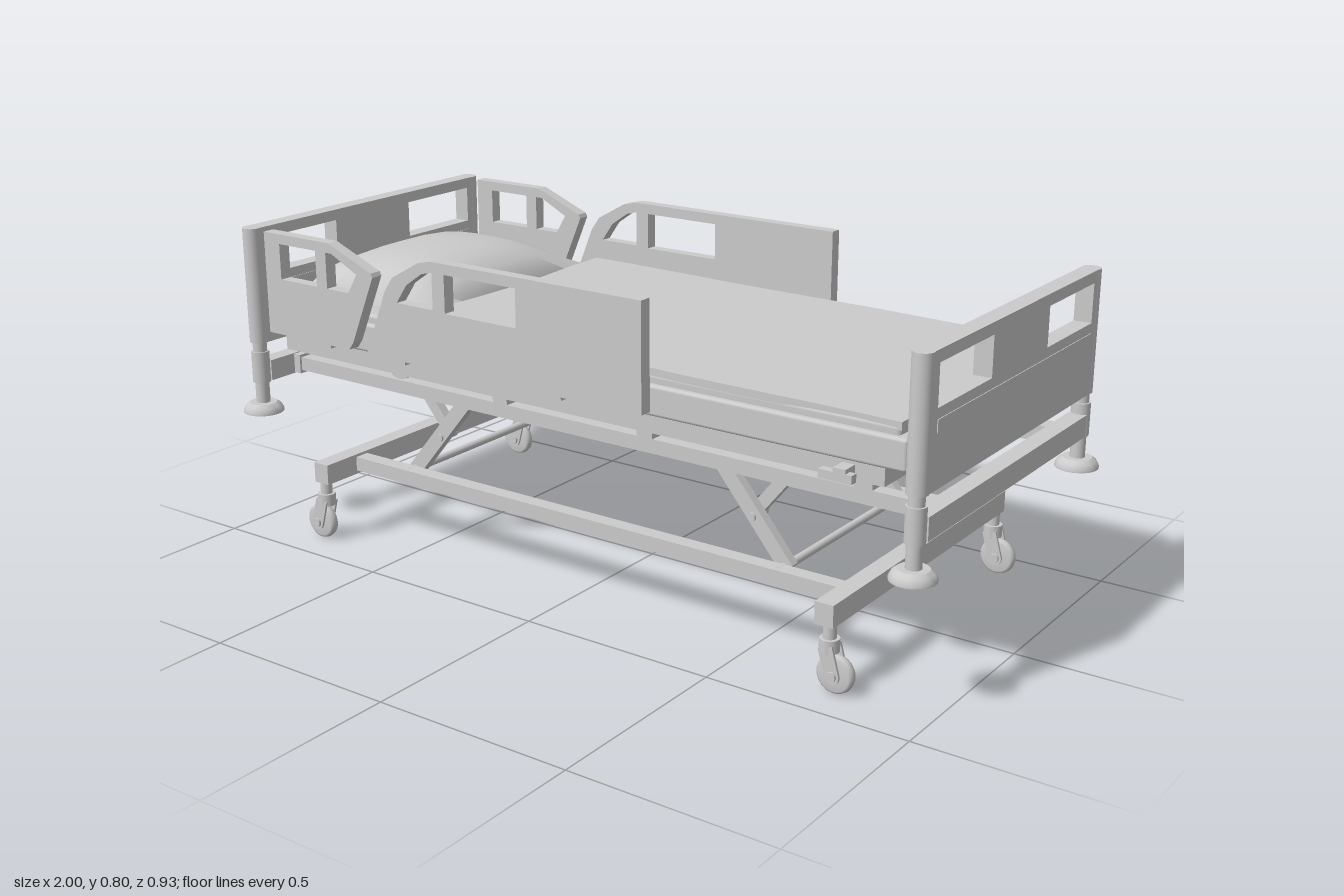
import * as THREE from 'three';
import { RoundedBoxGeometry } from 'three/addons/geometries/RoundedBoxGeometry.js';
import { toCreasedNormals } from 'three/addons/utils/BufferGeometryUtils.js';

const mat = new THREE.MeshStandardMaterial({ color: 0xcccccc, side: THREE.DoubleSide });

function add(parent, name, geo, x = 0, y = 0, z = 0) {
  const m = new THREE.Mesh(geo, mat);
  m.name = name;
  m.position.set(x, y, z);
  parent.add(m);
  return m;
}
// Box given by its limits
function box(parent, name, x0, x1, y0, y1, z0, z1) {
  return add(parent, name, new THREE.BoxGeometry(x1 - x0, y1 - y0, z1 - z0), (x0 + x1) / 2, (y0 + y1) / 2, (z0 + z1) / 2);
}
function post(parent, name, r, y0, y1, x, z) {
  return add(parent, name, new THREE.CylinderGeometry(r, r, y1 - y0, 24), x, (y0 + y1) / 2, z);
}
// Cylinder lying along z
function rod(parent, name, r, len, x, y, z) {
  const m = add(parent, name, new THREE.CylinderGeometry(r, r, len, 24), x, y, z);
  m.rotation.x = Math.PI / 2;
  return m;
}
// Rectangular bar between two points of a plane of constant z
function strut(parent, name, x0, y0, x1, y1, w, z, depth) {
  const m = add(parent, name, new THREE.BoxGeometry(Math.hypot(x1 - x0, y1 - y0), w, depth), (x0 + x1) / 2, (y0 + y1) / 2, z);
  m.rotation.z = Math.atan2(y1 - y0, x1 - x0);
  return m;
}
// Flat panel with holes, centred on its thickness
function panel(outline, holes, depth) {
  const v = (pts) => pts.map(([x, y]) => new THREE.Vector2(x, y));
  const s = new THREE.Shape(v(outline));
  holes.forEach((h) => s.holes.push(new THREE.Path(v(h))));
  const g = new THREE.ExtrudeGeometry(s, { depth, bevelEnabled: false });
  return g.translate(0, 0, -depth / 2);
}
const rect = (x0, x1, y0, y1) => [[x0, y0], [x1, y0], [x1, y1], [x0, y1]];

// Head or foot board with its corner posts and bumpers
function endBoard(name, s) {
  const g = new THREE.Group();
  g.name = name;
  const x = s * 0.948;
  const board = panel(rect(-0.415, 0.415, 0.503, 0.803), [rect(-0.385, -0.14, 0.68, 0.775), rect(0.14, 0.385, 0.68, 0.775)], 0.044);
  add(g, 'boardPanel', board, x).rotation.y = Math.PI / 2;
  for (const f of [-1, 1]) box(g, 'trimStrip', x + f * 0.022 - 0.002, x + f * 0.022 + 0.002, 0.626, 0.656, -0.385, 0.385);
  box(g, 'crossBeam', x - 0.022, x + 0.022, 0.398, 0.452, -0.4, 0.4);
  const bumper = [[0.001, 0.316], [0.052, 0.316], [0.052, 0.321], [0.046, 0.333], [0.035, 0.341], [0.001, 0.341]].map((p) => new THREE.Vector2(...p));
  for (const z of [-0.415, 0.415]) {
    post(g, 'boardEdge', 0.024, 0.503, 0.803, x, z);
    post(g, 'upperPost', 0.018, 0.475, 0.505, x, z);
    post(g, 'postSleeve', 0.023, 0.396, 0.478, x, z);
    post(g, 'lowerPost', 0.018, 0.335, 0.4, x, z);
    add(g, 'bumper', toCreasedNormals(new THREE.LatheGeometry(bumper, 32), 0.6), x, 0, z);
  }
  for (const z of [-0.295, 0.295]) {
    const x1 = s * 0.905;
    box(g, 'railSocket', Math.min(x, x1), Math.max(x, x1), 0.4, 0.45, z - 0.024, z + 0.024);
  }
  return g;
}

// Swivel caster, trailing outward
function caster(s, z) {
  const g = new THREE.Group();
  g.name = 'caster';
  post(g, 'casterStem', 0.015, 0.12, 0.17, s * 0.75, z);
  post(g, 'casterHousing', 0.023, 0.095, 0.126, s * 0.75, z);
  for (const f of [-1, 1]) {
    strut(g, 'casterFork', s * 0.75, 0.11, s * 0.768, 0.045, 0.036, z + f * 0.018, 0.006);
    rod(g, 'forkHub', 0.018, 0.006, s * 0.768, 0.045, z + f * 0.018);
  }
  const tyre = [[0.012, -0.013], [0.038, -0.013], [0.044, -0.008], [0.046, 0], [0.044, 0.008], [0.038, 0.013], [0.012, 0.013]].map((p) => new THREE.Vector2(...p));
  add(g, 'wheel', new THREE.LatheGeometry(tyre, 32), s * 0.768, 0.046, z).rotation.x = Math.PI / 2;
  rod(g, 'axle', 0.012, 0.054, s * 0.768, 0.046, z);
  return g;
}

// Side guards: a small one by the pillow and a long one by the middle
function sideGuards(z) {
  const g = new THREE.Group();
  g.name = 'sideGuards';
  const headGuard = panel([[-0.893, 0.54], [-0.615, 0.54], [-0.6, 0.56], [-0.525, 0.735], [-0.53, 0.745], [-0.67, 0.801], [-0.893, 0.801]],
    [rect(-0.84, -0.715, 0.685, 0.776), [[-0.68, 0.685], [-0.608, 0.685], [-0.578, 0.735], [-0.66, 0.776], [-0.68, 0.776]]], 0.032);
  const middleGuard = panel([[-0.555, 0.54], [0.273, 0.54], [0.273, 0.802], [-0.335, 0.802], [-0.375, 0.793], [-0.46, 0.745], [-0.485, 0.71]],
    [rect(-0.295, -0.08, 0.682, 0.776), [[-0.448, 0.685], [-0.333, 0.685], [-0.333, 0.776], [-0.365, 0.768], [-0.415, 0.733]]], 0.032);
  add(g, 'headGuard', headGuard, 0, 0, z);
  add(g, 'middleGuard', middleGuard, 0, 0, z);
  const inner = Math.sign(z) * 0.37;
  for (const x of [-0.75, -0.5, -0.02]) {
    box(g, 'guardBracket', x - 0.055, x + 0.055, 0.525, 0.55, Math.min(inner, z), Math.max(inner, z));
  }
  return g;
}

// Plump pillow: a grid box whose height follows rounded profiles in x and z
function pillowGeometry() {
  const g = new THREE.BoxGeometry(0.42, 1, 0.66, 8, 1, 8);
  const p = g.attributes.position;
  for (let i = 0; i < p.count; i++) {
    const u = p.getX(i) / 0.21, w = Math.min(1, Math.abs(p.getZ(i)) / 0.33);
    const puff = Math.pow(Math.max(0, 1 - Math.abs(u + 0.15) ** 3 / 1.5), 0.8) * Math.pow(1 - w ** 3, 0.7);
    p.setY(i, p.getY(i) > 0 ? 0.628 + 0.092 * puff : 0.6);
    p.setZ(i, p.getZ(i) * (1 - 0.05 * (1 - u * u) * w * w));
  }
  return toCreasedNormals(g, 0.9);
}

export function createModel() {
  const bed = new THREE.Group();
  bed.name = 'adjustableBed';
  bed.add(endBoard('headBoard', -1), endBoard('footBoard', 1), sideGuards(0.41), sideGuards(-0.41));

  // Wheeled base
  const base = new THREE.Group();
  base.name = 'base';
  bed.add(base);
  for (const s of [-1, 1]) {
    box(base, 'baseCrossBeam', s * 0.745 - 0.023, s * 0.745 + 0.023, 0.158, 0.211, -0.42, 0.42);
    box(base, 'baseRail', -0.73, 0.73, 0.167, 0.204, s * 0.295 - 0.02, s * 0.295 + 0.02);
    for (const z of [-0.4, 0.4]) base.add(caster(s, z));
  }

  // Lifting legs with diagonal braces
  const lift = new THREE.Group();
  lift.name = 'liftLegs';
  bed.add(lift);
  for (const s of [-1, 1]) {
    for (const f of [-1, 1]) {
      strut(lift, 'liftLeg', s * 0.365, 0.425, s * 0.56, 0.19, 0.038, f * 0.257, 0.024);
      strut(lift, 'legBrace', s * 0.555, 0.42, s * 0.462, 0.305, 0.03, f * 0.232, 0.024);
      rod(lift, 'bracePin', 0.01, 0.06, s * 0.467, 0.296, f * 0.245);
    }
    rod(lift, 'lowerLegRod', 0.01, 0.6, s * 0.555, 0.195, 0);
    rod(lift, 'upperLegRod', 0.012, 0.6, s * 0.37, 0.42, 0);
    rod(lift, 'braceRod', 0.012, 0.6, s * 0.55, 0.418, 0);
  }

  // Upper frame and bent cross straps
  const frame = new THREE.Group();
  frame.name = 'upperFrame';
  bed.add(frame);
  for (const z of [-0.295, 0.295]) box(frame, 'frameRail', -0.93, 0.93, 0.408, 0.443, z - 0.018, z + 0.018);
  const strap = panel([[-0.37, 0.488], [-0.25, 0.482], [-0.15, 0.445], [0.15, 0.445], [0.25, 0.482], [0.37, 0.488],
    [0.37, 0.5], [0.24, 0.494], [0.14, 0.457], [-0.14, 0.457], [-0.24, 0.494], [-0.37, 0.5]], [], 0.05);
  for (const x of [-0.23, 0.2, 0.77]) {
    add(frame, 'bentStrap', strap, x).rotation.y = Math.PI / 2;
    for (const z of [-0.295, 0.295]) box(frame, 'strapMount', x - 0.022, x + 0.022, 0.44, 0.49, z - 0.018, z + 0.018);
  }
  for (const z of [-0.3, 0.3]) rod(frame, 'backrestPivot', 0.045, 0.02, -0.56, 0.49, z);
  for (const s of [-1, 1]) {
    box(frame, 'hookArm', 0.755, 0.785, 0.5, 0.52, Math.min(s * 0.36, s * 0.42), Math.max(s * 0.36, s * 0.42));
    box(frame, 'hookBar', 0.72, 0.8, 0.49, 0.51, s * 0.41 - 0.01, s * 0.41 + 0.01);
  }

  // Slatted mattress platform
  const platform = new THREE.Group();
  platform.name = 'platform';
  bed.add(platform);
  for (const z of [-0.365, 0.365]) box(platform, 'platformRail', -0.885, 0.855, 0.485, 0.526, z - 0.014, z + 0.014);
  for (const x of [-0.87, 0.84]) box(platform, 'platformEnd', x - 0.015, x + 0.015, 0.485, 0.526, -0.36, 0.36);
  for (let i = 0; i < 20; i++) {
    const x = -0.81 + i * 0.0845;
    box(platform, 'slat', x - 0.036, x + 0.036, 0.508, 0.526, -0.355, 0.355);
  }

  // Mattress, sheet and pillow
  add(bed, 'mattress', new RoundedBoxGeometry(1.81, 0.073, 0.766, 2, 0.008), 0, 0.562, 0);
  add(bed, 'mattressTop', new RoundedBoxGeometry(1.76, 0.03, 0.735, 2, 0.01), 0, 0.605, 0);
  const sheet = new THREE.BoxGeometry(1.325, 0.018, 0.735, 12, 1, 6);
  const p = sheet.attributes.position;
  for (let i = 0; i < p.count; i++) {
    const x = p.getX(i), z = p.getZ(i);
    p.setY(i, p.getY(i) - 0.006 * (x / 0.66));
    p.setZ(i, z * (1 + 0.008 * Math.sin(x * 9)));
    if (x < -0.6) p.setX(i, x + 0.008 * Math.cos(z * 9));
  }
  add(bed, 'sheet', toCreasedNormals(sheet, 0.6), 0.22, 0.625, 0);
  add(bed, 'pillow', pillowGeometry(), -0.66, 0, 0);
  return bed;
}
